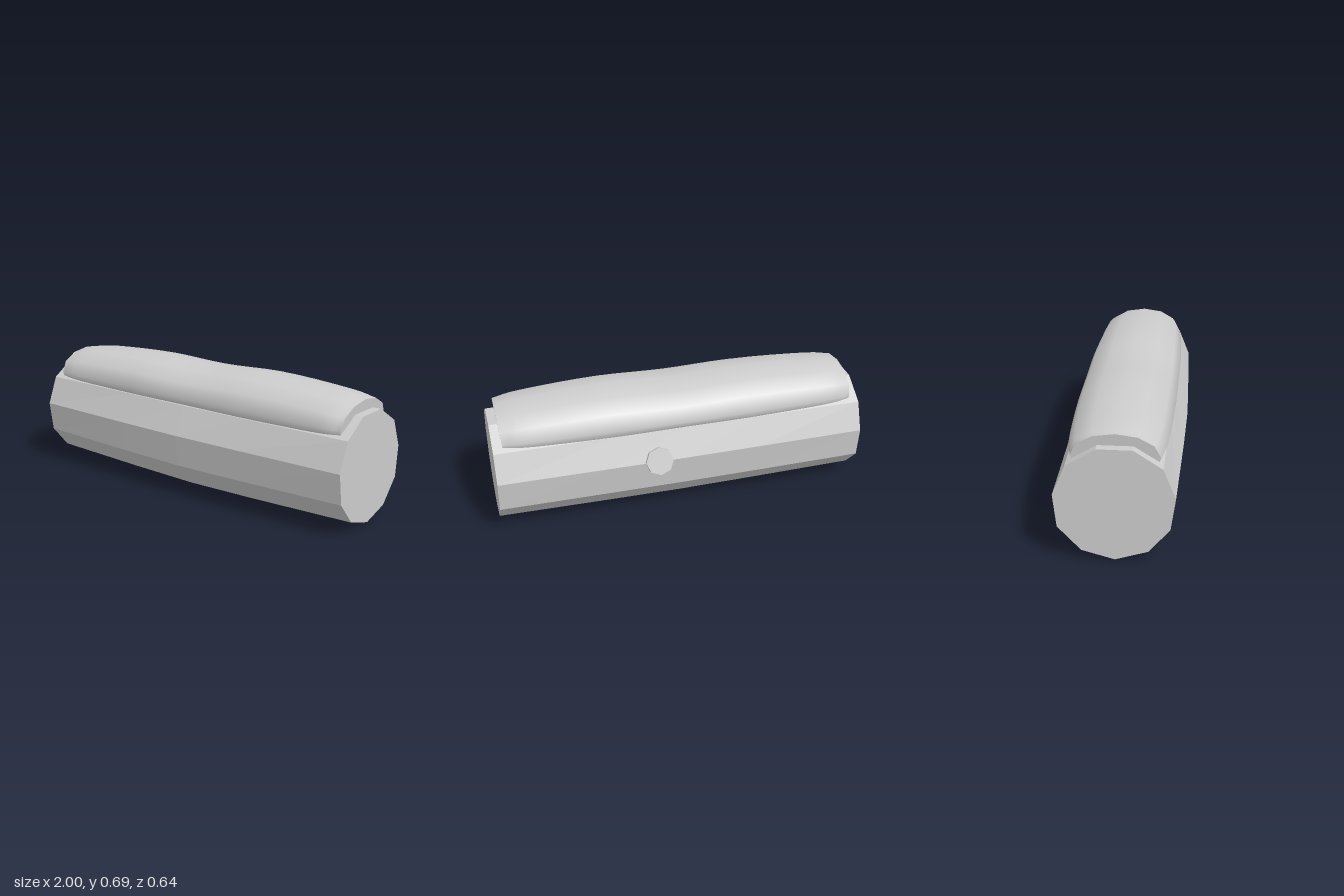
import * as THREE from 'three';

// Skin a list of equal-length sections (ordered along +x) and cap both ends.
function loft(sections, closed, flat) {
  const pos = [], idx = [];
  const rows = sections.map(s => (closed ? [...s, s[0]] : s));
  const n = rows[0].length, last = rows.length - 1;
  rows.forEach(r => r.forEach(p => pos.push(...p)));
  for (let i = 0; i < last; i++) {
    for (let j = 0; j < n - 1; j++) {
      const a = i * n + j, b = a + n;
      idx.push(a, b, b + 1, a, b + 1, a + 1);
    }
  }
  [0, last].forEach(i => {
    const base = pos.length / 3;
    sections[i].forEach(p => pos.push(...p));
    for (let k = 1; k < sections[i].length - 1; k++) {
      if (i === 0) idx.push(base, base + k, base + k + 1);
      else idx.push(base, base + k + 1, base + k);
    }
  });
  let g = new THREE.BufferGeometry();
  g.setAttribute('position', new THREE.Float32BufferAttribute(pos, 3));
  g.setIndex(idx);
  if (flat) g = g.toNonIndexed();
  g.computeVertexNormals();
  return g;
}

const mix = THREE.MathUtils.lerp;

export function createModel() {
  const group = new THREE.Group();
  const grey = new THREE.MeshStandardMaterial({ color: 0xcccccc });
  grey.name = 'plain grey';
  const add = (name, geometry) => {
    const mesh = new THREE.Mesh(geometry, grey);
    mesh.name = name;
    group.add(mesh);
    return mesh;
  };

  // Log: eleven-sided trunk, bulging slightly at mid length; points are [z, y]
  const logEnd = [[0.1, 0.59], [-0.07, 0.59], [-0.215, 0.5], [-0.276, 0.35], [-0.258, 0.184], [-0.145, 0.062],
    [0.015, 0.018], [0.172, 0.067], [0.275, 0.188], [0.298, 0.35], [0.238, 0.5]];
  const logMid = [[0.1, 0.59], [-0.07, 0.59], [-0.217, 0.5], [-0.283, 0.35], [-0.262, 0.181], [-0.15, 0.054],
    [0.015, 0.002], [0.185, 0.047], [0.3, 0.178], [0.321, 0.35], [0.25, 0.5]];
  const logStations = [[-1, 0], [-0.4, 0.7], [0, 1], [0.4, 0.7], [1, 0]];
  add('log', loft(logStations.map(([x, w]) =>
    logEnd.map(([z, y], j) => [x, mix(y, logMid[j][1], w), mix(z, logMid[j][0], w)])), true, true));

  // Soft covering draped over the top of the log
  const coverEnd = [[0.215, 0.505], [0.225, 0.535], [0.195, 0.593], [0.12, 0.635], [0.015, 0.65],
    [-0.09, 0.635], [-0.167, 0.593], [-0.195, 0.535], [-0.185, 0.505]];
  const coverMid = [[0.243, 0.5], [0.269, 0.547], [0.233, 0.625], [0.14, 0.677], [0.015, 0.695],
    [-0.11, 0.677], [-0.203, 0.625], [-0.239, 0.547], [-0.217, 0.5]];
  // Each station: x, width blend, height blend
  const path = new THREE.CatmullRomCurve3([[-0.955, 0, 0], [-0.8, 0.58, 0.5], [-0.37, 0.95, 0.93],
    [0, 1, 0.68], [0.37, 0.97, 1], [0.8, 0.58, 0.5], [0.955, 0, 0]].map(p => new THREE.Vector3(...p)));
  const coverSections = path.getPoints(24).map(s =>
    coverEnd.map(([z, y], j) => [
      s.x * (1 + (y - 0.6) * 0.08),
      mix(y, coverMid[j][1], s.z),
      mix(z, coverMid[j][0], s.y)]));
  add('covering', loft(coverSections, false, false));

  // Cut branch stub on the back
  const stubGeometry = new THREE.CylinderGeometry(0.075, 0.075, 0.09, 8).toNonIndexed();
  stubGeometry.translate(0, -0.045, 0);
  stubGeometry.computeVertexNormals();
  const stub = add('branchStub', stubGeometry);
  stub.position.set(0.15, 0.36, -0.295);
  stub.quaternion.setFromUnitVectors(new THREE.Vector3(0, 1, 0), new THREE.Vector3(0, 0.336, -0.942).normalize());

  // Open growth rings on the -x end: radius, start angle, sweep
  [[0.185, 1.4, 5.2], [0.095, 0.5, 4.8]].forEach(([r, start, sweep]) => {
    const ring = add('growthRing', new THREE.RingGeometry(r - 0.006, r + 0.006, 9, 1, start, sweep));
    ring.rotation.y = -Math.PI / 2;
    ring.position.set(-1.002, 0.305, 0.012);
  });
  return group;
}
